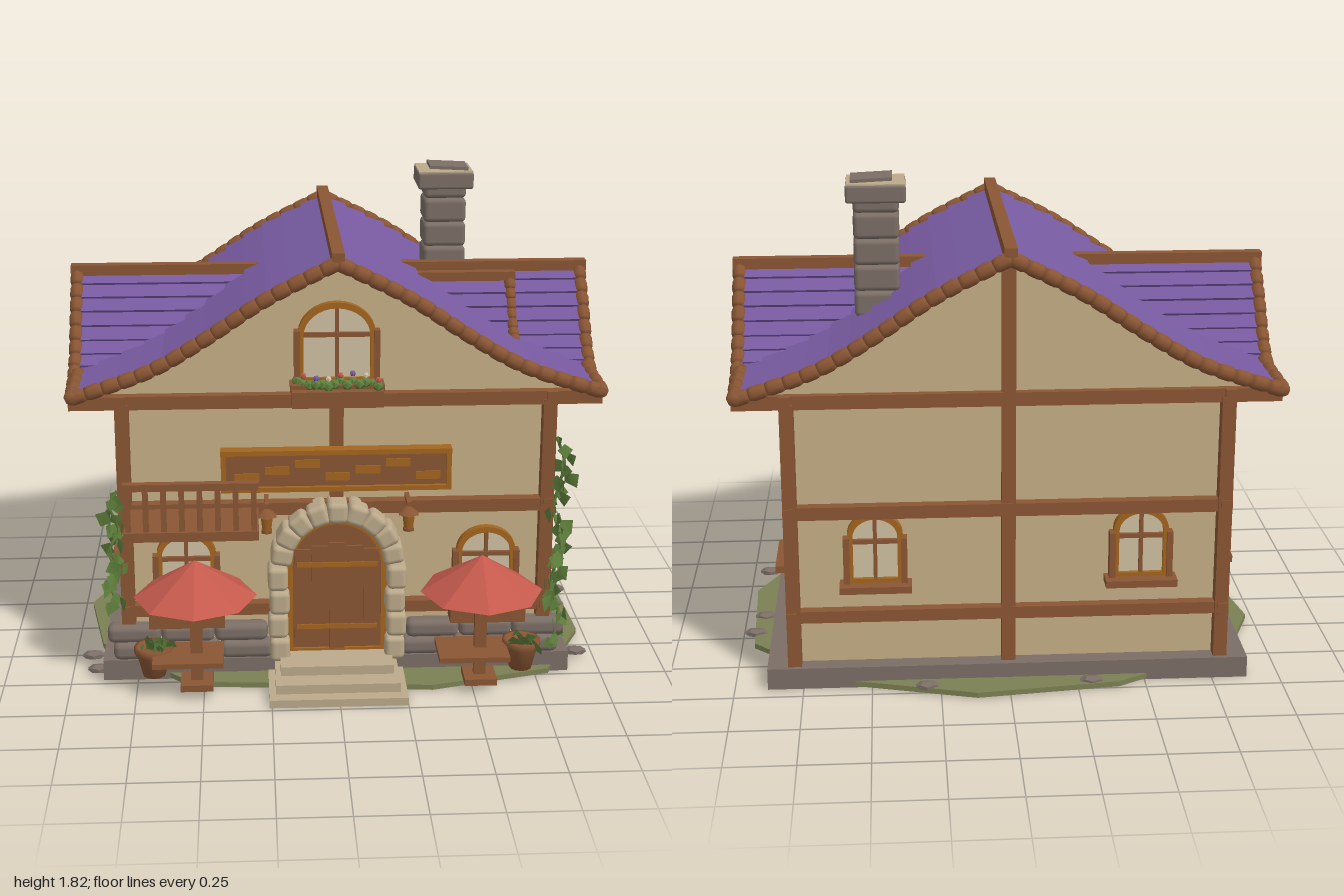
import * as THREE from 'three';
import { RoundedBoxGeometry } from 'three/addons/geometries/RoundedBoxGeometry.js';

const V = (x, y, z) => new THREE.Vector3(x, y, z);
const mat = (name, color, side = THREE.FrontSide) => {
  const m = new THREE.MeshStandardMaterial({ color, side });
  m.name = name;
  return m;
};

export function createModel() {
  const shingle = mat('purple shingle', 0x775aa0), wood = mat('brown wood', 0x8a5634);
  const rust = mat('orange wood', 0xa3651f), plaster = mat('cream plaster', 0xc6ae86);
  const stone = mat('grey stone', 0x7b6e66), pale = mat('pale stone', 0xbba98a);
  const cloth = mat('red cloth', 0xc4594c), leaf = mat('leaf green', 0x5f7f3c, THREE.DoubleSide);
  const glass = mat('pale glass', 0xcfc0a2), moss = mat('olive ground', 0x7b8053);

  const root = new THREE.Group();
  root.name = 'inn';
  let seed = 7;
  const rnd = () => (seed = (seed * 16807) % 2147483647) / 2147483647;

  const group = (name, parent = root) => {
    const g = new THREE.Group();
    g.name = name;
    parent.add(g);
    return g;
  };
  const add = (parent, name, geo, m, x = 0, y = 0, z = 0) => {
    const mesh = new THREE.Mesh(geo, m);
    mesh.name = name;
    mesh.position.set(x, y, z);
    parent.add(mesh);
    return mesh;
  };
  const box = (p, name, m, x, y, z, w, h, d) => add(p, name, new THREE.BoxGeometry(w, h, d), m, x, y, z);
  const block = (p, name, m, x, y, z, w, h, d, r = 0.02) =>
    add(p, name, new RoundedBoxGeometry(w, h, d, 2, r), m, x, y, z);
  // Board laid from a to b
  const board = (p, name, m, a, b, w, t) => {
    const mesh = new THREE.Mesh(new THREE.BoxGeometry(w, t, a.distanceTo(b)), m);
    mesh.name = name;
    mesh.position.copy(a).add(b).multiplyScalar(0.5);
    mesh.lookAt(b);
    p.add(mesh);
  };
  // Short logs strung along a line of points
  const logs = (p, name, pts, r = 0.026) => {
    for (let i = 0; i + 1 < pts.length; i++) {
      const d = pts[i + 1].clone().sub(pts[i]), L = d.length() * 1.08;
      const profile = [[0, -L / 2], [r * 0.85, -L / 2], [r * 1.06, -L / 4], [r * 1.06, L / 4], [r * 0.85, L / 2], [0, L / 2]];
      const geo = new THREE.LatheGeometry(profile.map(q => new THREE.Vector2(...q)), 8);
      const m = add(p, name, geo, wood);
      m.position.copy(pts[i]).add(pts[i + 1]).multiplyScalar(0.5);
      m.quaternion.setFromUnitVectors(V(0, 1, 0), d.normalize());
    }
  };
  const spline = (pts, n) => new THREE.SplineCurve(pts.map(p => new THREE.Vector2(...p))).getSpacedPoints(n);

  // Base, ground and steps
  const ground = group('ground');
  box(ground, 'foundation', stone, 0, 0.04, -0.11, 1.76, 0.08, 1.16);
  const patch = new THREE.Shape([[-0.9, -0.2], [-0.55, -0.55], [0.35, -0.62], [0.8, -0.5], [0.97, -0.15], [0.95, 0.35], [0.6, 0.68], [0.12, 0.81], [-0.4, 0.75], [-0.85, 0.5], [-0.97, 0.2]].map(p => new THREE.Vector2(...p)));
  add(ground, 'grassPatch', new THREE.ExtrudeGeometry(patch, { depth: 0.02, bevelEnabled: false }), moss, 0, 0.005).rotation.x = -Math.PI / 2;
  [[-0.93, 0.3], [-0.9, 0.42], [0.93, 0.35], [0.92, -0.1], [0.3, -0.74], [-0.3, -0.73], [0.95, -0.25]].forEach(([x, z]) =>
    add(ground, 'pebble', new THREE.DodecahedronGeometry(0.045, 0), stone, x, 0.025, z).scale.set(1, 0.35, 0.7));
  [[0.51, 0.73, 0.03], [0.46, 0.68, 0.065], [0.42, 0.6, 0.1]].forEach(([w, z, h]) =>
    box(ground, 'step', pale, -0.005, h / 2, (z + 0.4) / 2, w, h, z - 0.4));

  // Plaster walls
  const walls = group('walls');
  box(walls, 'plasterWalls', plaster, 0, 0.58, -0.11, 1.54, 1.0, 1.03);

  // Timber frame
  const frame = group('timberFrame');
  for (const x of [-0.78, 0.78]) for (const z of [0.43, -0.65]) box(frame, 'cornerPost', wood, x, 0.58, z, 0.05, 1.0, 0.05);
  for (const [y, h] of [[1.085, 0.05], [0.67, 0.048], [0.27, 0.045]]) {
    for (const x of [-0.785, 0.785]) box(frame, 'sideBeam', wood, x, y, -0.11, 0.04, h, 1.14);
    for (const z of [0.425, -0.64]) box(frame, 'crossBeam', wood, 0, y, z, y > 1 ? 1.94 : 1.58, h, 0.05);
  }
  box(frame, 'frontCentrePost', wood, 0, 0.88, 0.42, 0.05, 0.42, 0.04);
  box(frame, 'backCentrePost', wood, 0, 0.83, -0.64, 0.05, 1.5, 0.045);

  // Roof profiles, as distance from the ridge and height
  const mainPts = spline([[0, 1.6], [0.257, 1.47], [0.47, 1.33], [0.68, 1.21], [0.95, 1.12]], 12);
  const sidePts = spline([[0, 1.44], [0.11, 1.315], [0.21, 1.185], [0.31, 1.115], [0.435, 1.085]], 10);
  const ZC = -0.095, SPLIT = 0.64;
  const halfAt = y => { // half width of the side gable at height y
    for (let i = 0; i < 10; i++) {
      const a = sidePts[i], b = sidePts[i + 1];
      if (y <= a.y && y >= b.y) return a.x + (b.x - a.x) * (a.y - y) / (a.y - b.y);
    }
    return 0;
  };

  const roof = group('roof');
  for (const s of [-1, 1]) {
    // Main shingle rows, left open beneath the side gable
    for (let i = 0; i < 12; i++) {
      const a = mainPts[i], b = mainPts[i + 1];
      const half = a.x > SPLIT - 0.04 ? halfAt((a.y + b.y) / 2) : 0;
      const spans = half ? [[-0.74, ZC - half], [ZC + half, 0.51]] : [[-0.74, 0.51]];
      for (const [z0, z1] of spans) {
        const z = (z0 + z1) / 2;
        board(roof, 'mainShingles', shingle, V(s * a.x, a.y, z), V(s * (b.x + 0.01), b.y + 0.008, z), z1 - z0, 0.022);
      }
    }
    for (const z of [0.51, -0.74]) logs(roof, 'mainBargeboard', spline([[0, 1.6], [0.257, 1.47], [0.47, 1.33], [0.68, 1.21], [0.96, 1.115]], 17).map(p => V(s * p.x, p.y + 0.008, z)));
    for (const [z0, z1] of [[0.53, 0.2], [-0.76, -0.4]])
      logs(roof, 'eaveLog', [0, 1, 2, 3, 4].map(i => V(s * 0.95, 1.13, z0 + (z1 - z0) * i / 4)));

    // Side gable rows
    for (const t of [-1, 1]) {
      for (let i = 0; i < 10; i++) {
        const a = sidePts[i], b = sidePts[i + 1];
        // inner edge stops beneath the main slope, clear of the open arch
        const inner = 0.24 + 0.38 * Math.min(1, i / 6);
        const x = s * (inner + 0.965) / 2;
        board(roof, 'sideShingles', shingle, V(x, a.y, ZC + t * a.x), V(x, b.y + 0.008, ZC + t * (b.x + 0.005)), 0.965 - inner, 0.02);
      }
      logs(roof, 'sideBargeboard', sidePts.map(p => V(s * 0.965, p.y + 0.005, ZC + t * p.x)), 0.025);
    }
    box(roof, 'sideRidge', wood, s * 0.605, 1.455, ZC, 0.77, 0.04, 0.045);
    // Side gable plaster
    const sideShape = new THREE.Shape([...sidePts.map(p => new THREE.Vector2(p.x, p.y)), new THREE.Vector2(0.435, 1.06),
      new THREE.Vector2(-0.435, 1.06), ...sidePts.slice(1).reverse().map(p => new THREE.Vector2(-p.x, p.y))]);
    add(roof, 'sideGableWall', new THREE.ExtrudeGeometry(sideShape, { depth: 0.02, bevelEnabled: false }), plaster, s * SPLIT - 0.01, 0, ZC).rotation.y = Math.PI / 2;
  }
  box(roof, 'mainRidge', wood, 0, 1.625, -0.115, 0.045, 0.045, 1.29);
  // Front and back gable plaster
  const gable = new THREE.Shape([...mainPts.map(p => new THREE.Vector2(p.x, p.y - 0.008)), new THREE.Vector2(0.9, 1.085),
    new THREE.Vector2(-0.9, 1.085), ...mainPts.slice(1).reverse().map(p => new THREE.Vector2(-p.x, p.y - 0.008))]);
  for (const z of [0.39, -0.635]) add(roof, 'gableWall', new THREE.ExtrudeGeometry(gable, { depth: 0.02, bevelEnabled: false }), plaster, 0, 0, z);

  // Small dormer frame on the left slope
  box(roof, 'dormerRidge', wood, 0.52, 1.425, -0.05, 0.38, 0.035, 0.04);
  for (const t of [-1, 1]) logs(roof, 'dormerBargeboard', spline([[0, 1.41], [0.07, 1.31], [0.13, 1.24], [0.2, 1.21]], 7).map(p => V(0.69, p.y, -0.045 + t * p.x)), 0.02);

  // Chimney
  const chimney = group('chimney');
  for (let i = 0; i < 6; i++) block(chimney, 'chimneyBlock', stone, 0.455, 1.265 + i * 0.095, -0.295, 0.165, 0.094, 0.165, 0.018);
  block(chimney, 'chimneyCap', stone, 0.455, 1.765, -0.295, 0.215, 0.065, 0.21, 0.01);
  box(chimney, 'capTop', pale, 0.455, 1.798, -0.295, 0.21, 0.006, 0.2);
  box(chimney, 'capSlab', stone, 0.47, 1.81, -0.295, 0.15, 0.012, 0.14).rotation.z = -0.05;

  // Arched outline standing on y = 0
  const arch = (P, w, h, y0 = 0, rise = w * 0.42) => {
    const p = new P();
    p.moveTo(-w / 2, y0);
    p.lineTo(w / 2, y0);
    p.lineTo(w / 2, h - rise);
    p.absellipse(0, h - rise, w / 2, rise, 0, Math.PI, false, 0);
    p.lineTo(-w / 2, y0);
    return p;
  };
  const extrude = (shape, depth) => new THREE.ExtrudeGeometry(shape, { depth, bevelEnabled: false, curveSegments: 8 });
  const makeWindow = (x, y, z, turn, w = 0.2, h = 0.27) => {
    const g = group('window');
    g.position.set(x, y, z);
    g.rotation.y = turn;
    const rim = arch(THREE.Shape, w, h);
    rim.holes.push(arch(THREE.Path, w - 0.04, h - 0.022, 0.02));
    add(g, 'windowRim', extrude(rim, 0.03), rust);
    add(g, 'windowPane', extrude(arch(THREE.Shape, w - 0.02, h - 0.01), 0.008), glass, 0, 0, 0.006);
    for (const s of [-1, 1]) box(g, 'jamb', wood, s * (w / 2 + 0.004), h * 0.33, 0.02, 0.022, h * 0.66, 0.042);
    box(g, 'mullion', wood, 0, h / 2, 0.018, 0.014, h - 0.02, 0.02);
    box(g, 'transom', wood, 0, h * 0.6, 0.018, w, 0.016, 0.022);
    box(g, 'sill', wood, 0, -0.008, 0.035, w + 0.06, 0.026, 0.08);
    return g;
  };
  for (const s of [-1, 1]) {
    for (const z of [0.155, -0.36]) makeWindow(s * 0.775, 0.395, z, s * Math.PI / 2);
    makeWindow(s * 0.48, 0.395, -0.63, Math.PI);
    makeWindow(s * 0.56, 0.31, 0.41, 0, 0.22, 0.27);
  }
  makeWindow(0, 1.15, 0.415, 0, 0.28, 0.3);

  // Leaves and flower boxes
  const leafGeo = new THREE.BufferGeometry();
  leafGeo.setAttribute('position', new THREE.Float32BufferAttribute([0, 0, 0, 0.5, 0.4, 0.12, 0, 1, 0, -0.5, 0.4, 0.12], 3));
  leafGeo.setIndex([0, 1, 2, 0, 2, 3]);
  leafGeo.computeVertexNormals();
  const addLeaf = (p, x, y, z, size, down) => {
    const m = add(p, 'leaf', leafGeo, leaf, x, y, z);
    m.scale.setScalar(size);
    m.rotation.set((down ? 2.6 : 0.3) + rnd() * 0.8, rnd() * 6.28, (rnd() - 0.5) * 1.4);
  };
  const planter = (x, y, z, w) => {
    const g = group('flowerBox');
    box(g, 'trough', wood, x, y, z, w, 0.06, 0.09);
    for (let i = 0; i < 14; i++) {
      const px = x + (i / 13 - 0.5) * (w - 0.04), pz = z + (rnd() - 0.5) * 0.06;
      add(g, 'foliage', new THREE.IcosahedronGeometry(0.021, 0), leaf, px, y + 0.04 + rnd() * 0.015, pz);
      if (i % 2) add(g, 'flower', new THREE.IcosahedronGeometry(0.012, 0), [shingle, cloth, glass][i % 3], px, y + 0.07 + rnd() * 0.015, pz + 0.015);
    }
  };
  planter(0, 1.11, 0.48, 0.33);
  for (const s of [-1, 1]) planter(s * 0.56, 0.265, 0.49, 0.28);

  const vine = (s, y0, y1, n) => {
    const g = group('vine');
    const pts = [];
    for (let i = 0; i <= 8; i++) pts.push(V(s * (0.82 + 0.018 * Math.sin(i * 2.1)), y0 + (y1 - y0) * i / 8, 0.465 + 0.015 * Math.cos(i * 1.7)));
    const path = new THREE.CatmullRomCurve3(pts);
    add(g, 'stem', new THREE.TubeGeometry(path, 24, 0.006, 5), leaf);
    for (let i = 0; i < n; i++) {
      const p = path.getPoint(i / (n - 1));
      addLeaf(g, p.x + (rnd() - 0.5) * 0.05, p.y, p.z + (rnd() - 0.4) * 0.05, 0.05 + rnd() * 0.02, true);
    }
  };
  vine(1, 0.15, 0.94, 48);
  vine(-1, 0.32, 0.76, 32);

  // Stone footing along the front
  const footing = group('footing');
  for (const s of [-1, 1]) for (let r = 0; r < 2; r++) for (let i = 0; i < 3; i++)
    block(footing, 'footingStone', stone, s * (0.34 + i * 0.2 + r * 0.02), 0.115 + r * 0.07, 0.445, 0.2, 0.07, 0.07, 0.025);

  // Door and stone arch
  const door = group('door');
  add(door, 'doorPanel', extrude(arch(THREE.Shape, 0.38, 0.54, 0, 0.18), 0.04), wood, 0, 0.1, 0.41);
  const trim = arch(THREE.Shape, 0.37, 0.53, 0, 0.18);
  trim.holes.push(arch(THREE.Path, 0.33, 0.51, 0.01, 0.165));
  add(door, 'doorTrim', extrude(trim, 0.012), rust, 0, 0.1, 0.448);
  for (let i = -2; i <= 2; i++) box(door, 'plank', wood, i * 0.065, 0.32, 0.452, 0.058, 0.43 - Math.abs(i) * 0.025, 0.016);
  for (const y of [0.2, 0.45]) box(door, 'hinge', rust, 0, y, 0.461, 0.3, 0.018, 0.008);
  for (const s of [-1, 1]) for (let i = 0; i < 4; i++)
    block(door, 'jambStone', pale, s * (0.215 + (i % 2) * 0.006), 0.125 + i * 0.095, 0.455, 0.075, 0.093, 0.12);
  for (let i = 0; i < 9; i++) {
    const a = Math.PI * (i + 0.5) / 9;
    block(door, 'archStone', pale, 0.208 * Math.cos(a), 0.47 + 0.2 * Math.sin(a), 0.46, 0.08, 0.076, 0.12).rotation.z = a;
  }

  // Signboard
  const sign = group('signboard');
  box(sign, 'signPanel', wood, -0.005, 0.84, 0.49, 0.82, 0.145, 0.03);
  for (const s of [-1, 1]) {
    box(sign, 'signRail', rust, -0.005, 0.84 + s * 0.07, 0.495, 0.84, 0.018, 0.05);
    box(sign, 'signEnd', rust, -0.005 + s * 0.41, 0.84, 0.495, 0.018, 0.15, 0.05);
    box(sign, 'signBracket', wood, s * 0.3, 0.84, 0.445, 0.03, 0.05, 0.08);
  }
  for (let i = 0; i < 7; i++) box(sign, 'wornPaint', rust, -0.33 + i * 0.11, 0.84 + (i % 3 - 1) * 0.025, 0.507, 0.09, 0.03, 0.006);

  // Balcony
  const balcony = group('balcony');
  box(balcony, 'balconyFloor', wood, -0.53, 0.66, 0.565, 0.48, 0.035, 0.25);
  box(balcony, 'handrail', wood, -0.53, 0.845, 0.67, 0.48, 0.026, 0.03);
  for (let i = 0; i < 8; i++) box(balcony, 'baluster', wood, -0.755 + i * 0.064, 0.755, 0.67, 0.02, 0.17, 0.018);

  // Parasol tables, plant pots and lanterns
  for (const s of [-1, 1]) {
    const x = s * 0.525, g = group('parasolTable');
    add(g, 'canopy', new THREE.ConeGeometry(0.225, 0.14, 8).toNonIndexed(), cloth, x, 0.46, 0.59).geometry.computeVertexNormals();
    box(g, 'pole', wood, x, 0.24, 0.59, 0.045, 0.38, 0.025);
    box(g, 'tableTop', wood, x - 0.03, 0.155, 0.595, 0.26, 0.02, 0.19);
    box(g, 'tableFoot', wood, x, 0.045, 0.59, 0.12, 0.025, 0.12);

    const pot = group('plantPot');
    const potProfile = [[0, 0], [0.042, 0], [0.064, 0.09], [0.072, 0.09], [0.072, 0.115], [0.06, 0.115], [0, 0.1]];
    add(pot, 'pot', new THREE.LatheGeometry(potProfile.map(q => new THREE.Vector2(...q)), 12), wood, s * 0.685, 0.06, 0.55);
    for (let i = 0; i < 16; i++) addLeaf(pot, s * 0.685 + (rnd() - 0.5) * 0.09, 0.15, 0.55 + (rnd() - 0.5) * 0.09, 0.07, false);

    const lamp = group('lantern');
    box(lamp, 'lanternArm', wood, s * 0.26, 0.71, 0.475, 0.016, 0.016, 0.11);
    add(lamp, 'lanternHood', new THREE.ConeGeometry(0.042, 0.035, 6), wood, s * 0.26, 0.685, 0.51);
    add(lamp, 'lanternGlass', new THREE.CylinderGeometry(0.026, 0.018, 0.055, 6), rust, s * 0.26, 0.64, 0.51);
    add(lamp, 'lanternFoot', new THREE.CylinderGeometry(0.022, 0.022, 0.012, 6), wood, s * 0.26, 0.608, 0.51);
  }
  return root;
}
